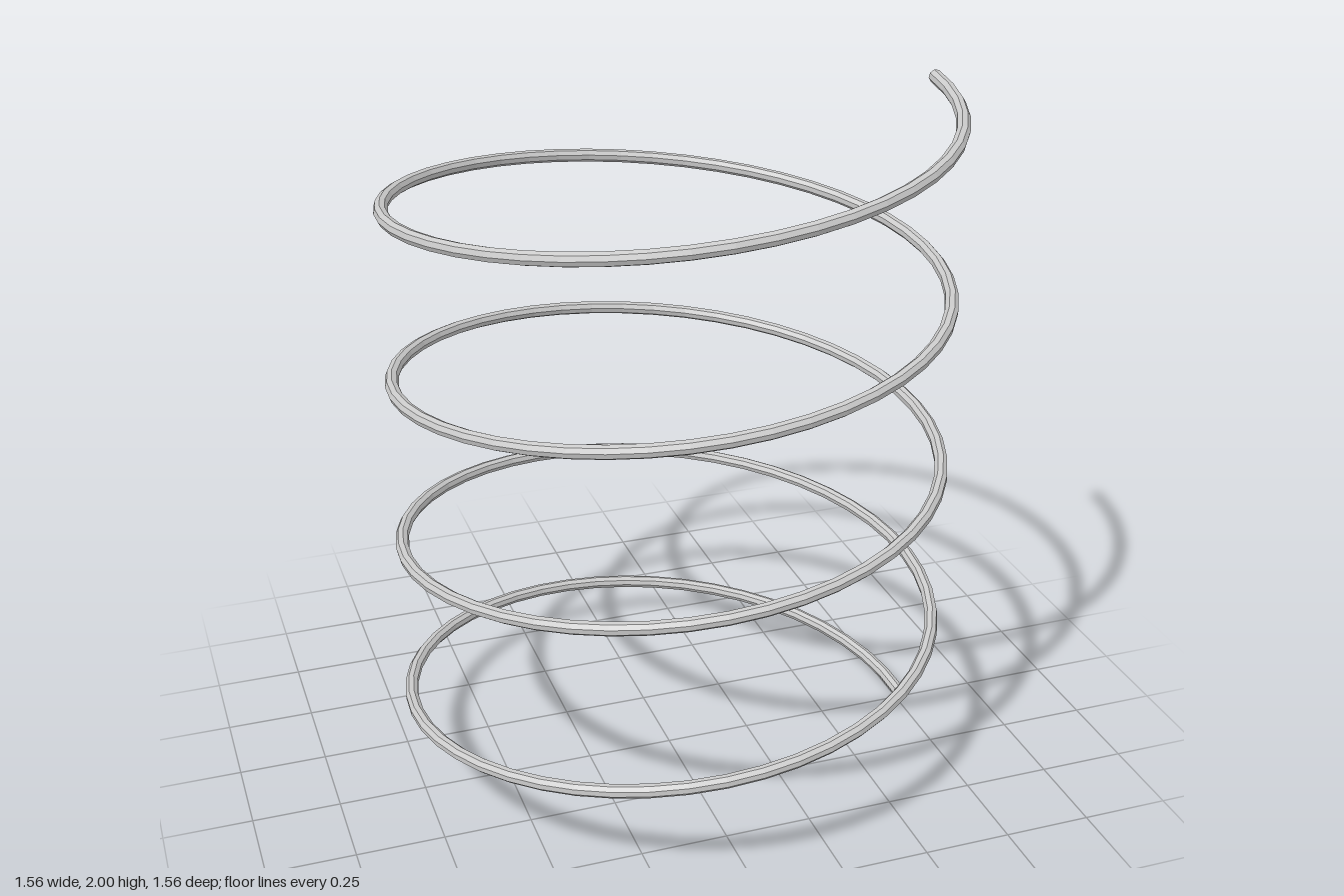
import * as THREE from 'three';

const TURNS = 4, COIL_RADIUS = 0.76, WIRE_RADIUS = 0.019, SIDES = 8, STEPS_PER_TURN = 48;

// Rising helix, starting and ending on +x
class Helix extends THREE.Curve {
  getPoint(t, target = new THREE.Vector3()) {
    const a = t * TURNS * Math.PI * 2;
    return target.set(
      COIL_RADIUS * Math.cos(a),
      THREE.MathUtils.lerp(WIRE_RADIUS, 2 - WIRE_RADIUS, t),
      -COIL_RADIUS * Math.sin(a)
    );
  }
}

export function createModel() {
  const group = new THREE.Group();
  group.name = 'coilSpring';
  const material = new THREE.MeshStandardMaterial({ color: 0xcccccc, flatShading: true });

  // Coiled wire
  const helix = new Helix();
  const wireGeometry = new THREE.TubeGeometry(helix, TURNS * STEPS_PER_TURN, WIRE_RADIUS, SIDES);
  const wire = new THREE.Mesh(wireGeometry, material);
  wire.name = 'wire';
  group.add(wire);

  // Flat caps lined up with the end rings of the wire
  const { tangents, normals, binormals } = wireGeometry;
  for (const [name, t, sign] of [['bottomCap', 0, -1], ['topCap', 1, 1]]) {
    const i = t * TURNS * STEPS_PER_TURN;
    const basis = new THREE.Matrix4().makeBasis(
      normals[i],
      binormals[i].clone().multiplyScalar(sign),
      tangents[i].clone().multiplyScalar(sign)
    );
    const geometry = new THREE.CircleGeometry(WIRE_RADIUS, SIDES).applyMatrix4(basis);
    const cap = new THREE.Mesh(geometry, material);
    cap.name = name;
    cap.position.copy(helix.getPoint(t));
    group.add(cap);
  }
  return group;
}
